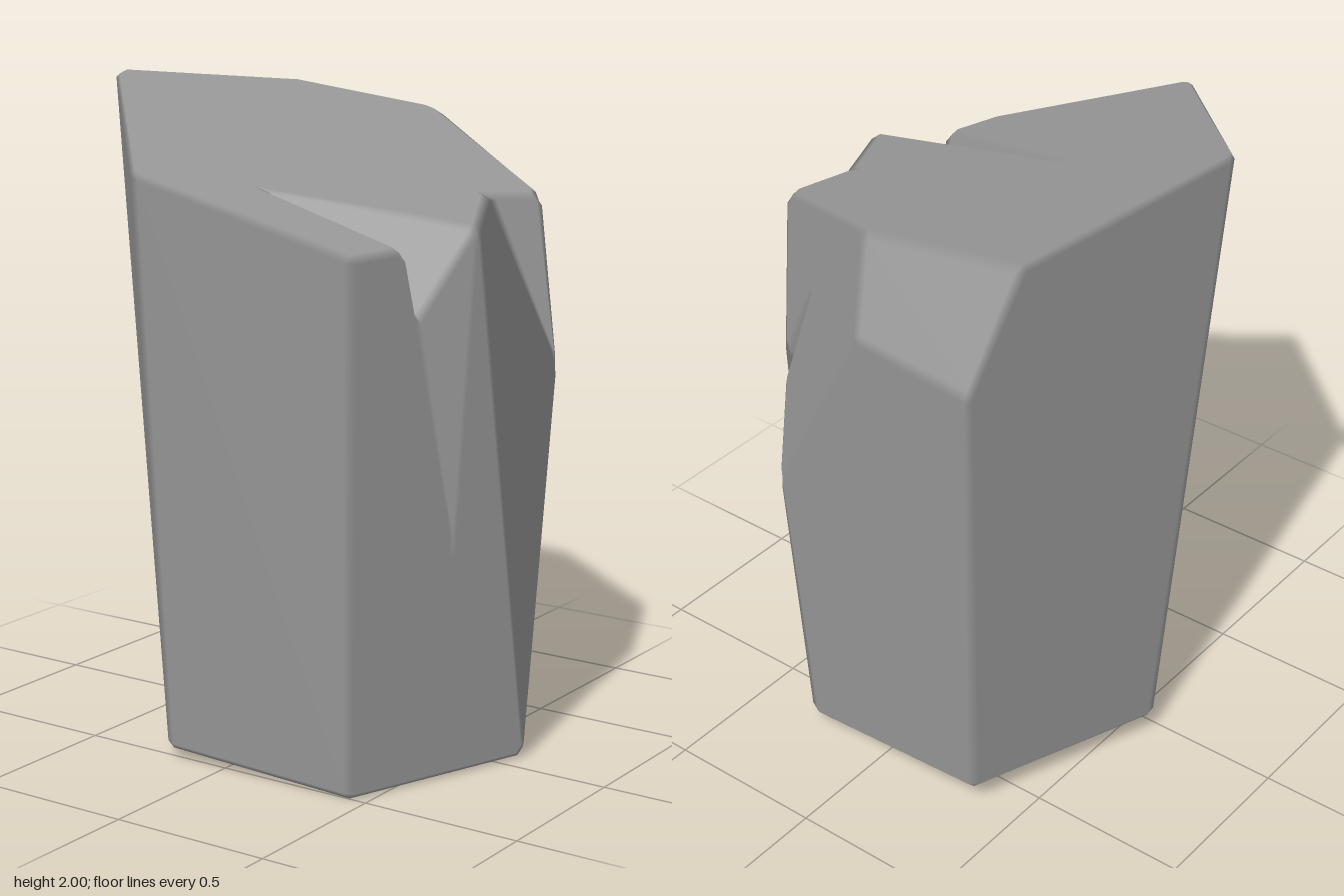
import * as THREE from 'three';

// Corner points of the boulder: a trailing r marks the base ring
const corners = {
  // top rim
  A: [-0.69, 2.005, 0.115], B: [-0.1, 1.795, 0.78], C: [0.48, 1.575, 0.55],
  P: [0.645, 1.63, 0.16], R: [0.49, 1.68, -0.15], E: [0.56, 1.665, -0.34],
  F: [0, 1.865, -0.645], G: [-0.53, 1.93, -0.625],
  // split in the top: front lip, tip, outer floor, foot of the scar
  M: [0.53, 1.585, 0.37], T: [-0.04, 1.7, 0.26], N: [0.55, 1.37, 0.33], L: [0.63, 0.71, 0.25],
  // back chamfer and side bulges
  H: [-0.475, 1.58, -0.785], I: [-0.07, 1.61, -0.775], J: [0.335, 0.92, -0.675],
  K: [0.68, 1.18, -0.24],
  // rim of the side crack, from its upper spike around
  S: [0.3, 1.52, -0.535], Q1: [0.46, 1.23, -0.49], Q2: [0.575, 0.95, -0.36], Q3: [0.54, 0.56, -0.33],
  Q4: [0.5, 0.55, -0.39], Q5: [0.515, 0.72, -0.385], Q6: [0.5, 0.95, -0.45], Q7: [0.425, 1.18, -0.53],
  // floor of the side crack
  W1: [0.4, 1.2, -0.48], W2: [0.46, 0.95, -0.35], W3: [0.45, 0.62, -0.31],
  // base ring
  Ar: [-0.6, 0.07, -0.05], Br: [-0.19, 0.03, 0.53], Cr: [0.455, -0.002, 0.515],
  Dr: [0.68, 0.003, -0.08], Jr: [0.265, 0.04, -0.66], Hr: [-0.365, 0.06, -0.65],
};

// Facets, corners counter-clockwise from outside; each row is one broad plane
const planes = [
  // sloping top
  ['A B T', 'B C M T', 'A T R', 'T P R', 'A R E', 'A E F', 'A F G'],
  // walls of the split and the scar below it
  ['T M N'], ['T N P'], ['N L P'],
  // front, left, back and base
  ['A Ar Br B'], ['B Br Cr C'], ['G H Hr Ar A'], ['F I H G'], ['I J Jr Hr H'], ['Ar Hr Jr Dr Cr Br'],
  // right side, front half
  ['C Cr L M', 'M L N', 'L Cr Dr', 'P L Dr'],
  // right side around the crack
  ['P Dr K', 'P K R', 'E K Q1', 'K Q2 Q1', 'K Dr Q3 Q2', 'Dr Jr Q4 Q3',
    'Q4 Jr J', 'Q5 Q4 J', 'Q6 Q5 J', 'Q7 Q6 J'],
  ['R K E'],
  // upper back shoulder
  ['F E S', 'E Q1 S', 'S Q7 J', 'F S J I'],
  // crack walls
  ['S Q1 W1'], ['Q1 Q2 W2 W1'], ['Q2 Q3 W3 W2'], ['Q3 Q4 W3'],
  ['Q4 Q5 W3'], ['Q5 Q6 W2 W3'], ['Q6 Q7 W1 W2'], ['Q7 S W1'],
];

// Closed solid with every edge chamfered; a plane shades evenly, chamfers blend between planes
function chamferedSolid(width) {
  const vec = {};
  for (const k in corners) vec[k] = new THREE.Vector3(...corners[k]);
  const faces = [], normals = [];
  for (const plane of planes) {
    const normal = new THREE.Vector3();
    for (const text of plane) {
      const face = text.split(' ');
      face.forEach((k, i) => {
        const next = vec[face[(i + 1) % face.length]];
        normal.add(vec[k].clone().sub(vec[face[0]]).cross(next.clone().sub(vec[face[0]])));
      });
      faces.push(face);
      normals.push(normal);
    }
    normal.normalize();
  }

  const positions = [], shading = [];
  const polygon = (pts) => {
    for (let i = 1; i < pts.length - 1; i++) {
      for (const { p, n } of [pts[0], pts[i], pts[i + 1]]) {
        positions.push(p.x, p.y, p.z);
        shading.push(n.x, n.y, n.z);
      }
    }
  };

  // shrink each facet and remember which facet owns each directed edge
  const owner = {};
  const inset = faces.map((face, f) => {
    const moved = {};
    face.forEach((k, i) => {
      const count = face.length;
      const next = face[(i + 1) % count], prev = face[(i + count - 1) % count];
      owner[k + '>' + next] = f;
      const u = vec[next].clone().sub(vec[k]), v = vec[prev].clone().sub(vec[k]);
      const d = Math.min(width, 0.2 * u.length(), 0.2 * v.length());
      const p = vec[k].clone().addScaledVector(u.normalize(), d).addScaledVector(v.normalize(), d);
      moved[k] = { p, n: normals[f] };
    });
    polygon(face.map((k) => moved[k]));
    return moved;
  });

  // chamfer strips along edges and caps at corners
  const capped = new Set();
  faces.forEach((face, f) => face.forEach((a, i) => {
    const b = face[(i + 1) % face.length];
    const g = owner[b + '>' + a];
    if (a < b) polygon([inset[f][b], inset[f][a], inset[g][a], inset[g][b]]);
    if (capped.has(a)) return;
    capped.add(a);
    const ring = [];
    let cur = f;
    do {
      ring.push(inset[cur][a]);
      const loop = faces[cur];
      const prev = loop[(loop.indexOf(a) + loop.length - 1) % loop.length];
      cur = owner[a + '>' + prev];
    } while (cur !== f);
    polygon(ring);
  }));

  const geometry = new THREE.BufferGeometry();
  geometry.setAttribute('position', new THREE.Float32BufferAttribute(positions, 3));
  geometry.setAttribute('normal', new THREE.Float32BufferAttribute(shading, 3));
  return geometry;
}

export function createModel() {
  const group = new THREE.Group();
  group.name = 'rock';
  const boulder = new THREE.Mesh(
    chamferedSolid(0.02),
    new THREE.MeshStandardMaterial({ color: 0x999999 }),
  );
  boulder.name = 'boulder';
  group.add(boulder);
  return group;
}
